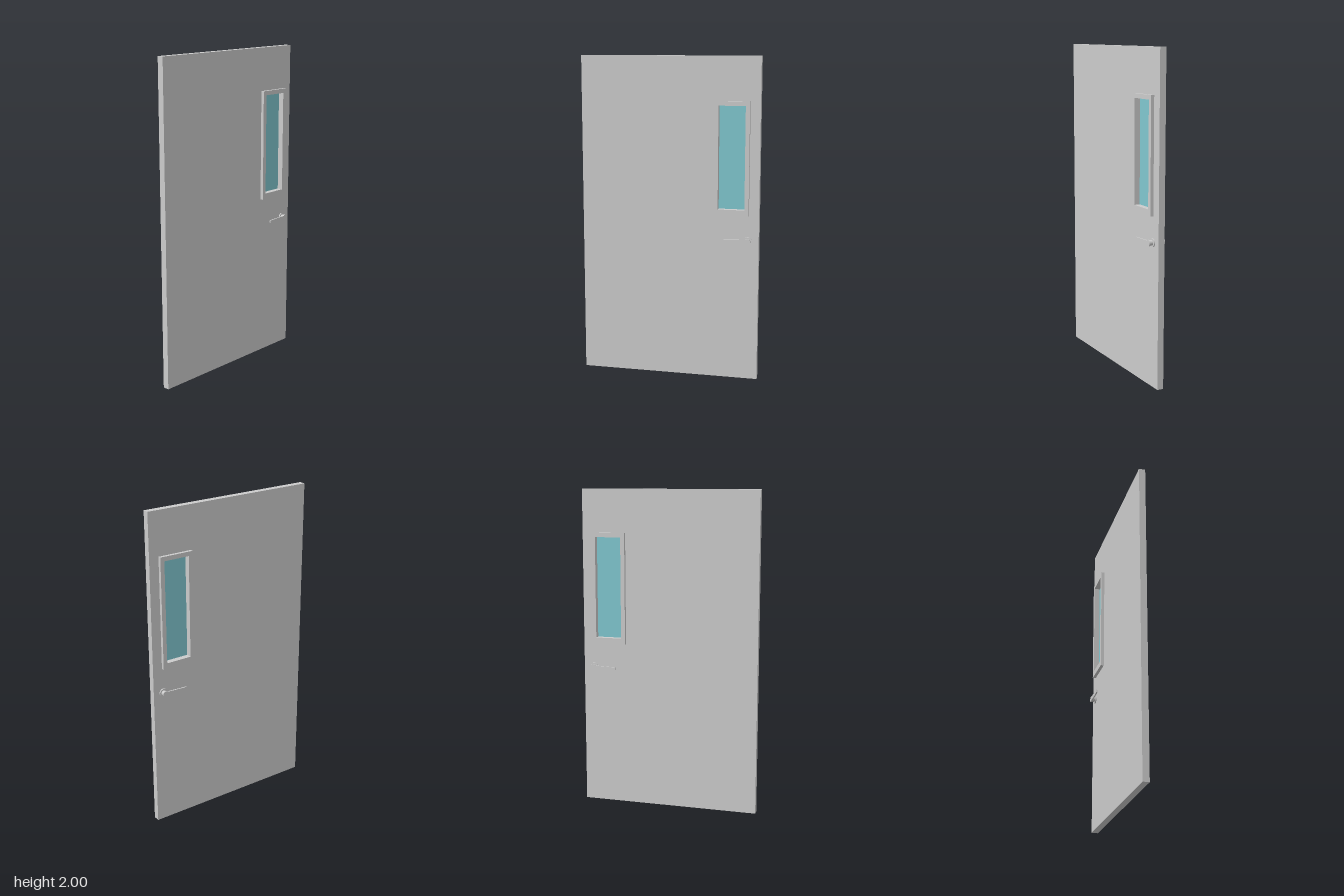
import * as THREE from 'three';

const grey = new THREE.MeshStandardMaterial({ color: 0xcccccc });
const teal = new THREE.MeshStandardMaterial({ color: 0x80c7cf });

function mesh(name, geometry, material = grey) {
  const m = new THREE.Mesh(geometry, material);
  m.name = name;
  return m;
}

function rect(path, x0, y0, x1, y1) {
  path.moveTo(x0, y0).lineTo(x1, y0).lineTo(x1, y1).lineTo(x0, y1).closePath();
  return path;
}

// Rectangular slab with a rectangular opening, centred on z = 0
function slab(outer, hole, depth) {
  const shape = rect(new THREE.Shape(), ...outer);
  shape.holes.push(rect(new THREE.Path(), ...hole));
  return new THREE.ExtrudeGeometry(shape, { depth, bevelEnabled: false }).translate(0, 0, -depth / 2);
}

// Disc or rod along z between two depths
function disc(r, z0, z1) {
  return new THREE.CylinderGeometry(r, r, z1 - z0, 32).rotateX(Math.PI / 2).translate(0, 0, (z0 + z1) / 2);
}

// Lever handle around its spindle, pointing to -x, standing out along +z
function createHandle(name) {
  const handle = new THREE.Group();
  handle.name = name;
  handle.add(mesh('rosette', disc(0.026, 0.018, 0.027)));
  handle.add(mesh('spindle', disc(0.016, 0.026, 0.044)));

  // Lever plate: round hub drawn out into a flat grip
  const s = new THREE.Shape();
  s.moveTo(-0.148, 0.008);
  s.lineTo(-0.015, 0.013);
  s.absarc(0, 0, 0.019, Math.PI - 0.72, -Math.PI + 0.72, true);
  s.lineTo(-0.015, -0.013);
  s.lineTo(-0.105, -0.014);
  s.quadraticCurveTo(-0.13, -0.013, -0.148, -0.008);
  s.closePath();
  const lever = new THREE.ExtrudeGeometry(s, { depth: 0.008, bevelEnabled: false, curveSegments: 24 });
  handle.add(mesh('lever', lever.translate(0, 0, 0.044)));
  return handle;
}

export function createModel() {
  const door = new THREE.Group();
  door.name = 'door';

  // Door leaf, with its cut-out hidden behind the window frame
  door.add(mesh('doorLeaf', slab([-0.56, 0, 0.56, 2], [0.297, 1.06, 0.483, 1.715], 0.04)));

  // Vision panel: frame passing through the leaf, pane in the middle
  door.add(mesh('windowFrame', slab([0.281, 1.036, 0.498, 1.731], [0.307, 1.073, 0.472, 1.704], 0.08)));
  const glass = mesh('glass', new THREE.BoxGeometry(0.17, 0.636, 0.008), teal);
  glass.position.set(0.3895, 1.3885, 0);
  door.add(glass);

  // Handles on both faces, the back one mirrored in z
  for (const side of [1, -1]) {
    const handle = createHandle(side > 0 ? 'frontHandle' : 'backHandle');
    handle.position.set(0.494, 0.88, 0);
    handle.scale.z = side;
    door.add(handle);
  }
  return door;
}
